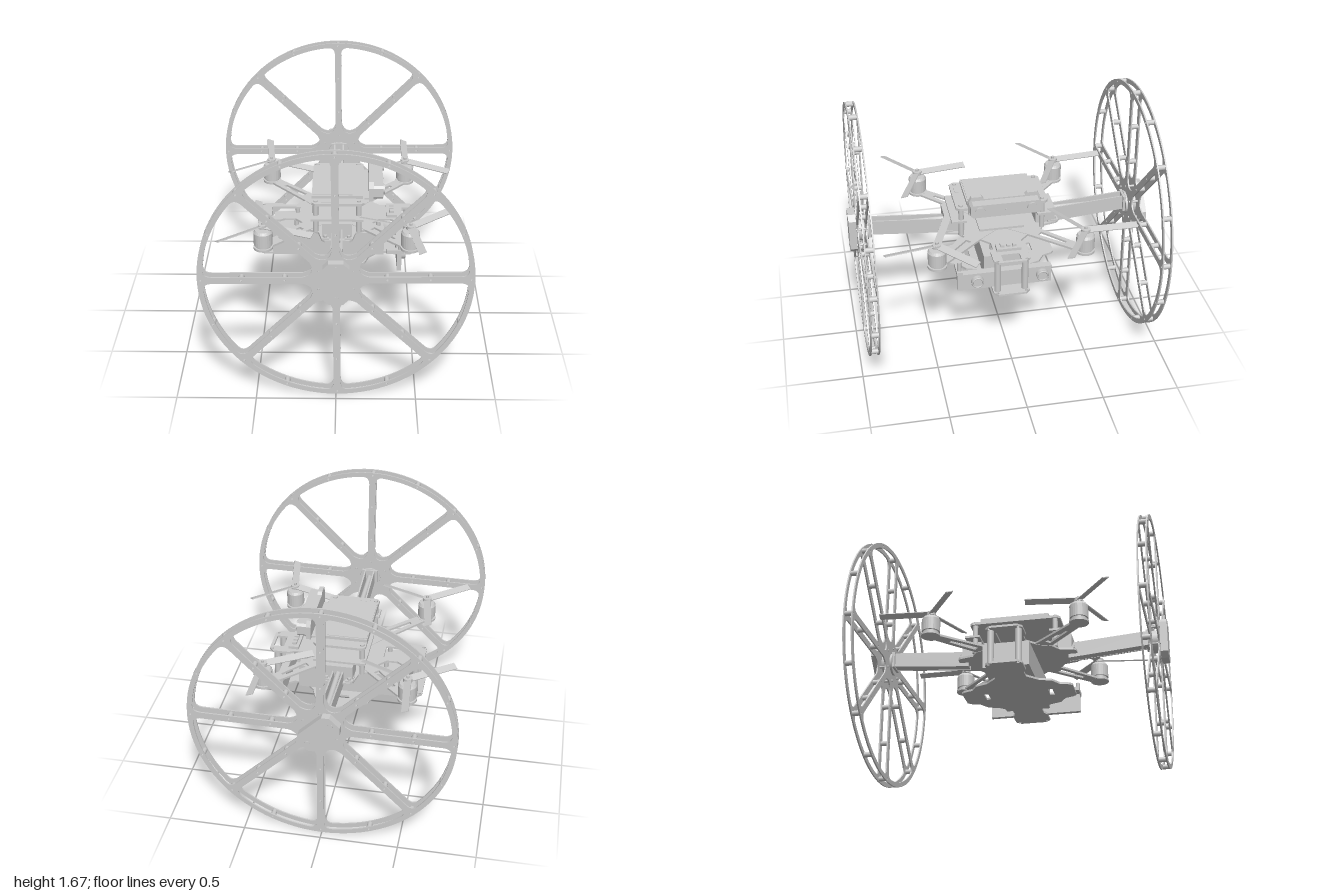
import * as THREE from 'three';

const mat = new THREE.MeshStandardMaterial({ color: 0xcccccc, side: THREE.DoubleSide });
const { PI, cos, sin } = Math;
const V = (x, y) => new THREE.Vector2(x, y);

function add(parent, name, geo, x = 0, y = 0, z = 0) {
  const m = new THREE.Mesh(geo, mat);
  m.name = name;
  m.position.set(x, y, z);
  parent.add(m);
  return m;
}
const box = (w, h, d) => new THREE.BoxGeometry(w, h, d);
const cyl = (r, h, n = 20) => new THREE.CylinderGeometry(r, r, h, n);
const cylX = (r, h, n = 24) => cyl(r, h, n).rotateZ(PI / 2);
const cylZ = (r, h, n = 24) => cyl(r, h, n).rotateX(PI / 2);
const extrude = (shape, depth) =>
  new THREE.ExtrudeGeometry(shape, { depth, bevelEnabled: false, curveSegments: 8 });
const flat = (shape, depth) => extrude(shape, depth).rotateX(-PI / 2);
const ring = (r, n, x = 0, y = 0) =>
  Array.from({ length: n }, (_, i) => V(x + r * cos(i / n * 2 * PI), y + r * sin(i / n * 2 * PI)));
const hole = (r, x, y, n = 8) => new THREE.Path(ring(r, n, x, y));
const rectHole = (x0, x1, h) => new THREE.Path([V(x0, -h), V(x1, -h), V(x1, h), V(x0, h)]);
const chamferRect = (w, h, c) => new THREE.Shape([
  V(-w + c, -h), V(w - c, -h), V(w, -h + c), V(w, h - c),
  V(w - c, h), V(-w + c, h), V(-w, h - c), V(-w, -h + c)]);

// Spacer centres: rim every 22.5 degrees, two along each spoke
const tilt = 0.01, step = PI / 4;
const spacers = [];
for (let i = 0; i < 16; i++) {
  const a = tilt + i * PI / 8;
  for (const r of i % 2 ? [0.819] : [0.31, 0.57, 0.815]) spacers.push(V(r * cos(a), r * sin(a)));
}

// Thin wheel plate with eight rounded sector openings
function wheelPlate() {
  const shape = new THREE.Shape(ring(0.835, 96));
  const R = 0.803, w = 0.022;
  for (let i = 0; i < 8; i++) {
    const a0 = tilt + i * step, a1 = a0 + step;
    const side = (a, d, s) => [d * cos(a) - s * w * sin(a), d * sin(a) + s * w * cos(a)];
    const polar = (r, a) => [r * cos(a), r * sin(a)];
    const p = new THREE.Path();
    p.moveTo(...side(a0, 0.2, 1));
    p.lineTo(...side(a0, 0.745, 1));
    p.quadraticCurveTo(...side(a0, R, 1), ...polar(R, a0 + 0.09));
    p.absarc(0, 0, R, a0 + 0.09, a1 - 0.09, false);
    p.quadraticCurveTo(...side(a1, R, -1), ...side(a1, 0.745, -1));
    p.lineTo(...side(a1, 0.2, -1));
    p.quadraticCurveTo(...polar(0.12, a0 + step / 2), ...side(a0, 0.2, 1));
    shape.holes.push(p);
  }
  for (const s of spacers) shape.holes.push(hole(0.007, s.x, s.y));
  return extrude(shape, 0.009);
}

function addWheels(model) {
  const plate = wheelPlate();
  const tube = new THREE.CylinderGeometry(0.017, 0.017, 0.05, 10, 1, true).rotateX(PI / 2);
  for (const s of [1, -1]) {
    const wheel = new THREE.Group();
    wheel.name = s > 0 ? 'frontWheel' : 'backWheel';
    wheel.position.set(0, 0.836, 0);
    add(wheel, 'outerPlate', plate, 0, 0, s * 0.9445 - 0.0045);
    add(wheel, 'innerPlate', plate, 0, 0, s * 0.8895 - 0.0045);
    for (const p of spacers) add(wheel, 'spacer', tube, p.x, p.y, s * 0.917);
    add(wheel, 'hubCore', cylZ(0.075, 0.075), 0, 0, s * 0.908);
    for (let i = 0; i < 6; i++) {
      const a = PI / 6 + i * PI / 3;
      add(wheel, 'hubBolt', cylZ(0.008, 0.076, 8), 0.12 * cos(a), 0.12 * sin(a), s * 0.917);
    }
    // Elongated cap, turned on the back wheel
    const cap = new THREE.Group();
    cap.name = 'hubCap';
    cap.rotation.z = s > 0 ? 0 : PI / 4;
    add(cap, 'capBody', extrude(chamferRect(0.08, 0.14, 0.035), 0.05), 0, 0, s * 0.973 - 0.025);
    for (const y of [-0.103, 0.103]) add(cap, 'capBolt', cylZ(0.017, 0.006, 12), 0, y, s * 0.998);
    wheel.add(cap);
    model.add(wheel);

    // Tapered channel carrying the wheel
    const profile = new THREE.Shape([V(0.34, 0.76), V(0.88, 0.805), V(0.88, 0.905), V(0.34, 0.865)]);
    const axle = new THREE.Group();
    axle.name = s > 0 ? 'frontAxle' : 'backAxle';
    for (const x of [-0.036, 0.026]) add(axle, 'axleSide', extrude(profile, 0.01).rotateY(-PI / 2), x + 0.01, 0, 0);
    const web = add(axle, 'axleFloor', box(0.07, 0.01, 0.54), 0, 0.79, 0.61);
    web.rotation.x = -Math.atan2(0.045, 0.54);
    add(axle, 'driveShaft', cylZ(0.018, 0.52, 14), 0, 0.85, 0.62);
    add(axle, 'axleFlange', box(0.11, 0.11, 0.02), 0, 0.85, 0.865);
    // Clamp joining the channel to the frame
    add(axle, 'clampBlock', box(0.19, 0.105, 0.13), 0, 0.853, 0.305);
    add(axle, 'clampTop', box(0.34, 0.015, 0.1), 0, 0.912, 0.285);
    for (const x of [-0.075, 0.075]) {
      add(axle, 'clampFoot', box(0.05, 0.012, 0.07), x, 0.806, 0.355);
      add(axle, 'clampBolt', cyl(0.011, 0.02, 10), x, 0.818, 0.375);
    }
    axle.rotation.y = s > 0 ? 0 : PI;
    model.add(axle);
  }
}

// Cross-shaped deck with concave flanks
function deckShape(zEnd) {
  const sh = new THREE.Shape();
  sh.moveTo(0.52, 0);
  const quarter = [[1, 1], [-1, 1], [-1, -1], [1, -1]];
  quarter.forEach(([sx, sz], i) => {
    const pts = [[0.52, 0.09], [0.49, 0.12], [0.38, 0.12], [0.35, 0.1], [0.28, 0.1],
      [0.21, 0.17], [0.18, 0.25], [0.12, 0.29], [0.1, zEnd - 0.02], [0.08, zEnd]];
    for (const [x, z] of i % 2 ? pts.reverse() : pts) sh.lineTo(sx * x, sz * z);
  });
  for (const [sx, sz] of quarter) sh.holes.push(hole(0.01, sx * 0.5, sz * 0.095));
  return sh;
}

function addFrame(model) {
  const lower = deckShape(0.37);
  for (const s of [-1, 1]) lower.holes.push(new THREE.Path(
    [V(-0.04, s * 0.2), V(0.04, s * 0.2), V(0.05, s * 0.23), V(-0.05, s * 0.23)]));
  add(model, 'lowerDeck', flat(lower, 0.014), 0, 0.54, 0);
  const middle = deckShape(0.4);
  middle.holes.push(rectHole(-0.44, -0.25, 0.065), rectHole(0.43, 0.5, 0.06));
  add(model, 'middleDeck', flat(middle, 0.014), 0, 0.787, 0);
  for (const x of [-0.468, 0.468]) for (const z of [-0.09, 0.09]) {
    add(model, 'deckPost', cyl(0.022, 0.235, 14), x, 0.67, z);
    add(model, 'deckStub', cyl(0.015, 0.04, 12), x * 0.58, 0.768, z);
  }
  // Battery and boards
  add(model, 'battery', box(0.74, 0.165, 0.3), -0.06, 0.637, 0);
  add(model, 'controlBoard', box(0.3, 0.015, 0.3), 0, 0.82, 0);
  add(model, 'portBoard', box(0.07, 0.02, 0.16), 0.36, 0.81, 0);
  for (const z of [-0.04, 0, 0.04]) add(model, 'port', box(0.03, 0.02, 0.025), 0.36, 0.825, z);
  // Raised top deck on posts
  for (const x of [-0.14, 0.14]) for (const z of [-0.27, 0.27]) {
    add(model, 'topPost', cyl(0.018, 0.2, 12), x, 0.9, z);
    add(model, 'topBolt', cyl(0.014, 0.01, 10), x, 1.022, z);
  }
  add(model, 'topDeck', flat(chamferRect(0.17, 0.305, 0.02), 0.017), 0.005, 1.0, 0);
  add(model, 'computerCase', box(0.33, 0.02, 0.46), 0, 1.027, 0);
  add(model, 'computerLid', box(0.26, 0.006, 0.44), -0.03, 1.038, 0);
  add(model, 'statusPanel', box(0.07, 0.004, 0.025), -0.07, 1.019, 0.27);
  add(model, 'cameraBracket', box(0.1, 0.012, 0.42), 0.2, 1.006, 0);
}

// Stereo camera and range sensor, both looking toward +x
function addSensors(model) {
  const back = new THREE.Shape([V(-0.235, 1.0), V(0.235, 1.0), V(0.235, 1.09), V(0.215, 1.13),
    V(0.15, 1.13), V(0.135, 1.112), V(-0.135, 1.112), V(-0.15, 1.13), V(-0.215, 1.13), V(-0.235, 1.09)]);
  add(model, 'cameraMount', extrude(back, 0.03).rotateY(PI / 2), 0.205, 0, 0);
  const body = chamferRect(0.23, 0.045, 0.015);
  add(model, 'cameraBody', extrude(body, 0.062).rotateY(PI / 2), 0.235, 1.058, 0);
  for (const z of [-0.17, 0.17]) add(model, 'cameraLens', cylX(0.032, 0.02), 0.299, 1.06, z);
  add(model, 'cameraDot', cylX(0.008, 0.012, 10), 0.297, 1.06, 0);

  add(model, 'rangeBoard', box(0.03, 0.13, 0.62), 0.405, 0.615, 0.035);
  add(model, 'rangeTopRail', box(0.05, 0.012, 0.62), 0.413, 0.675, 0.035);
  for (const z of [-0.215, 0.215]) {
    add(model, 'rangeHousing', cylX(0.042, 0.04), 0.425, 0.612, z);
    add(model, 'rangeRim', new THREE.TorusGeometry(0.034, 0.006, 6, 24).rotateY(PI / 2), 0.445, 0.612, z);
  }
  add(model, 'sideSensorArm', box(0.12, 0.025, 0.04), 0.38, 0.69, 0.33);
  add(model, 'sideSensorPin', cyl(0.014, 0.09, 10), 0.41, 0.72, 0.33);
}

function addRotors(model) {
  // Blade angles of each rotor, measured from +x toward +z
  const rotors = [[-0.468, -0.485, 25], [0.467, -0.485, 30], [-0.468, 0.478, 22], [0.467, 0.478, 80]];
  for (const [x, z, deg] of rotors) {
    const rotor = new THREE.Group();
    rotor.name = 'rotor';
    rotor.position.set(x, 0, z);
    add(rotor, 'motorSeat', cyl(0.062, 0.016, 24), 0, 0.797, 0);
    add(rotor, 'motorBase', cyl(0.05, 0.02, 24), 0, 0.812, 0);
    const bell = [[0, 0.82], [0.06, 0.82], [0.06, 0.905], [0.05, 0.922], [0, 0.924]].map(p => V(...p));
    add(rotor, 'motorBell', new THREE.LatheGeometry(bell, 24).toNonIndexed()).geometry.computeVertexNormals();
    add(rotor, 'shaft', cyl(0.01, 0.06, 10), 0, 0.945, 0);
    add(rotor, 'propellerHub', cyl(0.03, 0.025, 18), 0, 0.948, 0);
    for (let i = 0; i < 3; i++) {
      const pivot = new THREE.Group();
      pivot.name = 'blade';
      pivot.rotation.y = -(deg * PI / 180 + i * 2 * PI / 3);
      add(pivot, 'bladeSurface', box(0.32, 0.006, 0.048), 0.18, 0.95, 0).rotation.x = 0.35;
      rotor.add(pivot);
    }
    model.add(rotor);

    // Slotted arm from the middle deck to the motor
    const len = Math.hypot(x, z);
    const arm = new THREE.Shape([V(0.12, -0.07), V(0.3, -0.05), V(len, -0.035),
      V(len, 0.035), V(0.3, 0.05), V(0.12, 0.07)]);
    arm.holes.push(new THREE.Path([V(0.33, -0.02), V(0.53, -0.012), V(0.53, 0.012), V(0.33, 0.02)]));
    add(model, 'motorArm', flat(arm, 0.014), 0, 0.79, 0).rotation.y = -Math.atan2(z, x);
  }
}

export function createModel() {
  const model = new THREE.Group();
  model.name = 'wheeledQuadcopter';
  addWheels(model);
  addFrame(model);
  addSensors(model);
  addRotors(model);
  return model;
}
